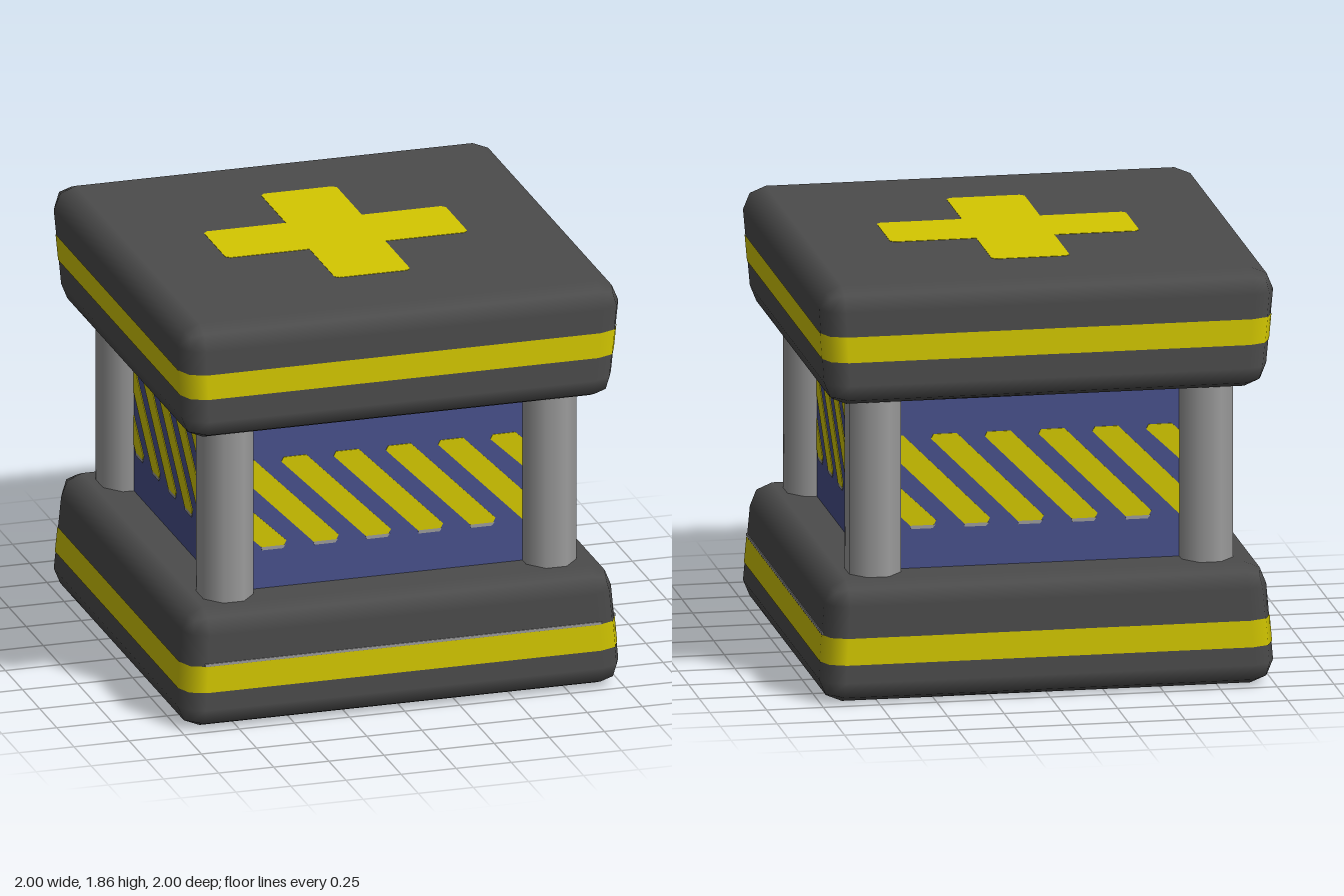
import * as THREE from 'three';
import { RoundedBoxGeometry } from 'three/addons/geometries/RoundedBoxGeometry.js';

const SLAB_H = 0.535, TOTAL_H = 1.855, PANEL = 0.732;

// Slab walls lean inwards slightly from the wide end to the narrow end
const taper = (y) => 1 - 0.026 * THREE.MathUtils.clamp((y - 0.1) / 0.335, 0, 1);

function applyTaper(geo) {
  const p = geo.attributes.position;
  for (let i = 0; i < p.count; i++) {
    const s = taper(p.getY(i));
    p.setX(i, p.getX(i) * s);
    p.setZ(i, p.getZ(i) * s);
  }
  return geo;
}

// Thin painted ring that wraps a slab between two heights
function bandGeometry(y0, y1) {
  const pos = [], nor = [], idx = [];
  for (let c = 0; c < 4; c++) {
    const mid = (c + 0.5) * Math.PI / 2;
    const cx = 0.9 * Math.sign(Math.cos(mid)), cz = 0.9 * Math.sign(Math.sin(mid));
    for (let k = 0; k < 3; k++) {
      const a = (c + k / 2) * Math.PI / 2, nx = Math.cos(a), nz = Math.sin(a);
      for (const y of [y0, y1]) {
        pos.push(cx + 0.103 * nx, y, cz + 0.103 * nz);
        nor.push(nx, 0, nz);
      }
    }
  }
  for (let j = 0; j < 12; j++) {
    const b = 2 * j, n = 2 * ((j + 1) % 12);
    idx.push(b, b + 1, n, b + 1, n + 1, n);
  }
  const geo = new THREE.BufferGeometry();
  geo.setAttribute('position', new THREE.Float32BufferAttribute(pos, 3));
  geo.setAttribute('normal', new THREE.Float32BufferAttribute(nor, 3));
  geo.setIndex(idx);
  return applyTaper(geo);
}

const shapeFrom = (points) => new THREE.Shape(points.map(([x, y]) => new THREE.Vector2(x, y)));

// Diagonal stripe, falling to the right, with its sharp corners cut off
function stripeShape(top) {
  const yTop = 1.13, drop = 0.405, run = 0.385, limit = 0.7;
  const s0 = Math.max(0, (-limit - top) / run), s1 = Math.min(1, (limit - top) / run);
  const xa = top + run * s0, ya = yTop - drop * s0;
  const xb = top + run * s1, yb = yTop - drop * s1;
  return shapeFrom([
    [xa - 0.045, ya], [xa - 0.056, ya - 0.02], [xb - 0.058, yb], [xb + 0.045, yb],
    [xb + 0.056, yb + 0.02], [xa + 0.058, ya],
  ]);
}

export function createModel() {
  const model = new THREE.Group();
  model.name = 'crate';
  const material = (name, color) => {
    const m = new THREE.MeshStandardMaterial({ color });
    m.name = name;
    return m;
  };
  const dark = material('dark grey', 0x4c4c4c);
  const steel = material('steel grey', 0x9c9c9c);
  const blue = material('blue', 0x48518c);
  const yellow = material('yellow', 0xd4c800);

  const add = (parent, name, geo, mat) => {
    const mesh = new THREE.Mesh(geo, mat);
    mesh.name = name;
    parent.add(mesh);
    return mesh;
  };

  // Base and lid: the same slab, the lid turned upside down
  const slabGeo = new RoundedBoxGeometry(2, SLAB_H, 2, 1, 0.1);
  slabGeo.translate(0, SLAB_H / 2, 0);
  applyTaper(slabGeo);
  const base = new THREE.Group(), lid = new THREE.Group();
  base.name = 'base';
  lid.name = 'lid';
  lid.position.y = TOTAL_H;
  lid.rotation.x = Math.PI;
  model.add(base, lid);
  add(base, 'baseSlab', slabGeo, dark);
  add(base, 'baseBand', bandGeometry(0.18, 0.297), yellow);
  add(lid, 'lidSlab', slabGeo, dark);
  add(lid, 'lidBand', bandGeometry(0.21, 0.327), yellow);

  // Worn edge above the base band, on the front and one side only
  const wornGeo = new THREE.BoxGeometry(1.8, 0.012, 0.006);
  wornGeo.translate(0, 0.303, 0.984);
  for (const k of [0, 1]) {
    add(base, 'baseBandEdge', wornGeo, steel).rotation.y = k * Math.PI / 2;
  }

  // Plus-shaped mark on the lid, with clipped corners
  const w = 0.172, l = 0.549, c = 0.018, arm = [];
  for (let k = 0; k < 4; k++) {
    for (const [x, y] of [[l, -w + c], [l, w - c], [l - c, w], [w, w], [w, l - c]].slice(0, 4)) {
      arm.push(new THREE.Vector2(x, y).rotateAround(new THREE.Vector2(), k * Math.PI / 2));
    }
    arm.push(new THREE.Vector2(w, l - c).rotateAround(new THREE.Vector2(), k * Math.PI / 2));
  }
  const crossGeo = new THREE.ExtrudeGeometry(new THREE.Shape(arm), { depth: 0.0015, bevelEnabled: false });
  crossGeo.rotateX(-Math.PI / 2);
  add(model, 'plusMark', crossGeo, yellow).position.set(0.002, TOTAL_H, -0.012);

  // Blue core between the slabs
  const coreH = TOTAL_H - 2 * SLAB_H + 0.04;
  add(model, 'core', new THREE.BoxGeometry(2 * PANEL - 0.004, coreH, 2 * PANEL - 0.004), blue)
    .position.y = TOTAL_H / 2;

  // Octagonal corner posts
  const postGeo = new THREE.CylinderGeometry(0.13, 0.13, coreH, 8, 1, false, Math.PI / 8);
  for (const x of [-1, 1]) {
    for (const z of [-1, 1]) {
      const post = add(model, 'cornerPost', postGeo, steel);
      post.scale.set(0.95, 1, 1.09);
      post.position.set(0.732 * x, TOTAL_H / 2, 0.73 * z);
    }
  }

  // Hazard stripes on all four sides, each with a worn grey foot
  const stripes = [], feet = [];
  for (let i = -2; i < 5; i++) {
    const top = -0.42 + 0.237 * i, x = top + 0.385;
    stripes.push(stripeShape(top));
    if (x < 0.6) feet.push(shapeFrom([[x - 0.055, 0.71], [x + 0.04, 0.71], [x + 0.052, 0.725], [x - 0.058, 0.725]]));
  }
  const plate = (shapes) => new THREE.ExtrudeGeometry(shapes, { depth: 0.004, bevelEnabled: false })
    .translate(0, 0, PANEL - 0.003);
  const stripeGeo = plate(stripes), footGeo = plate(feet);
  for (let k = 0; k < 4; k++) {
    const side = new THREE.Group();
    side.name = 'hazardPanel';
    side.rotation.y = k * Math.PI / 2;
    model.add(side);
    add(side, 'hazardStripes', stripeGeo, yellow);
    add(side, 'stripeFeet', footGeo, steel);
  }
  return model;
}
